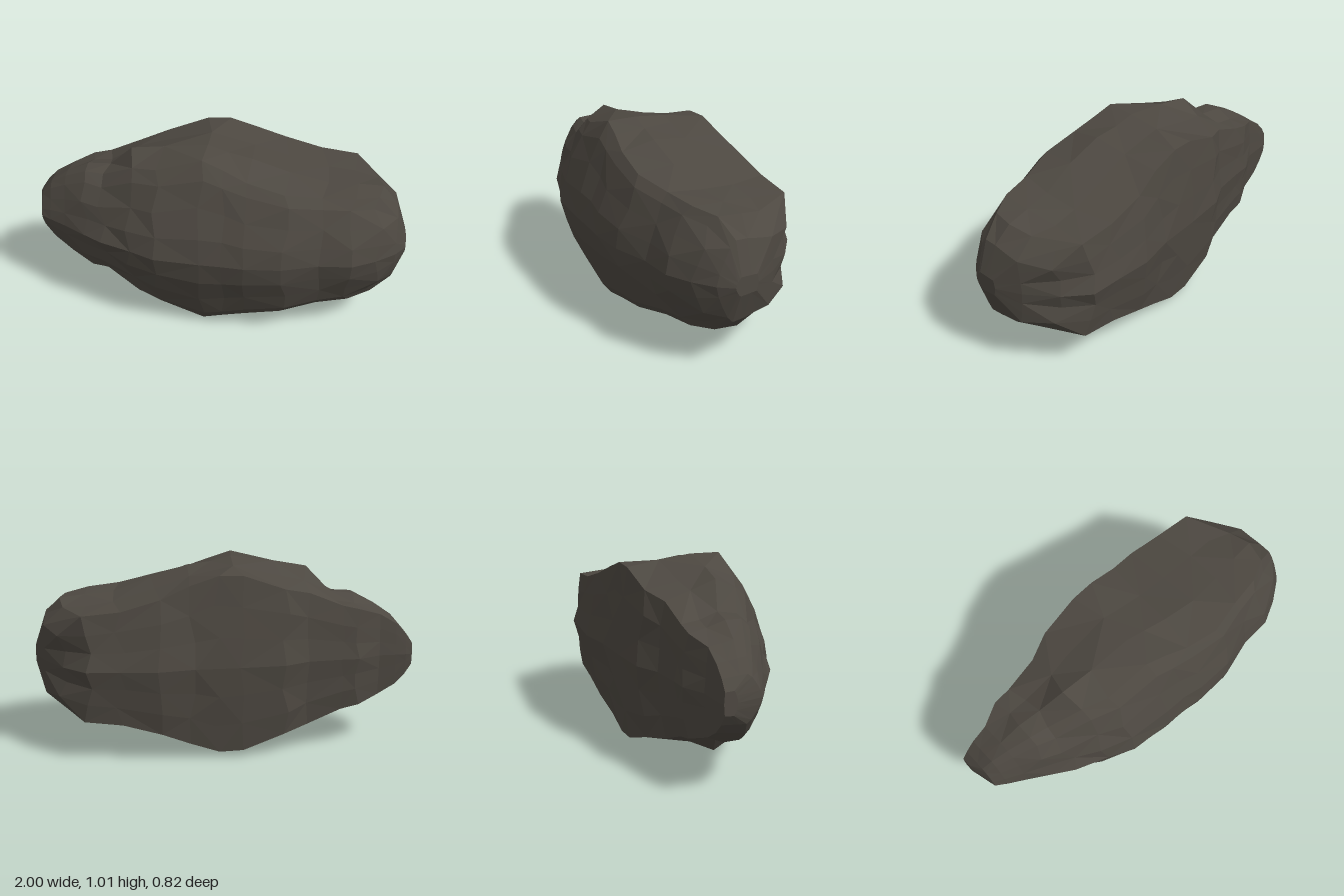
import * as THREE from 'three';

// Cross-sections along x:
// [x, half height, front z, shoulder z, back z, shoulder height, back edge height]
const SECTIONS = [
  [-1.0, 0.06, -0.11, -0.13, -0.18, 1, 0.95],
  [-0.965, 0.12, 0.03, -0.05, -0.19, 1, 0.92],
  [-0.91, 0.185, 0.065, -0.03, -0.195, 1, 0.9],
  [-0.82, 0.25, 0.115, 0, -0.2, 0.98, 0.88],
  [-0.7, 0.315, 0.19, 0.04, -0.26, 0.97, 0.82],
  [-0.6, 0.32, 0.25, 0.06, -0.265, 0.96, 0.86],
  [-0.43, 0.45, 0.315, 0.13, -0.285, 0.88, 0.8],
  [-0.3, 0.48, 0.375, 0.18, -0.35, 0.88, 0.83],
  [-0.06, 0.505, 0.395, 0.2, -0.37, 1, 0.92],
  [0.05, 0.49, 0.4, 0.22, -0.375, 0.95, 0.97],
  [0.17, 0.465, 0.41, 0.25, -0.38, 0.9, 0.88],
  [0.36, 0.39, 0.4, 0.27, -0.415, 0.95, 0.92],
  [0.55, 0.335, 0.345, 0.22, -0.4, 1, 0.88],
  [0.72, 0.32, 0.335, 0.19, -0.39, 1, 0.86],
  [0.84, 0.3, 0.275, 0.13, -0.28, 1, 0.82],
  [0.945, 0.215, 0.2, 0.1, -0.13, 1, 0.85],
  [1.0, 0.05, 0.13, 0.1, 0.0, 1, 0.9],
];

// Upper half outline for a given shoulder (s) and back edge (e) height:
// [0 = front, 1 = shoulder, 2 = back; height fraction]
const outline = (s, e) => [
  [0, 0], [0.15, 0.28 * s], [0.4, 0.57 * s], [0.7, 0.85 * s], [1, s],
  [1.28, 0.98], [1.58, 0.45 + 0.54 * e], [1.91, e],
  [1.945, 0.66 * e], [1.97, 0.33 * e], [2, 0],
];

const MID = 0.505;

// Small seeded generator for uneven facets
function makeRandom(seed) {
  return () => {
    seed = (seed * 16807) % 2147483647;
    return seed / 2147483647;
  };
}

function boulderGeometry() {
  const random = makeRandom(77);
  const last = SECTIONS.length - 1;
  const half = 10;
  const ring = half * 2;

  // Each ring is an uneven half outline, mirrored from top to bottom
  const rings = SECTIONS.map(([x, h, front, shoulder, back, s, e], i) => {
    const inner = i > 3 && i < last - 1;
    const top = outline(s, e).map(([t, k], j) => {
      const wobble = inner && j > 0 && j < half && j !== 4 ? 1 : 0;
      const z = t < 1
        ? THREE.MathUtils.lerp(front, shoulder, t)
        : THREE.MathUtils.lerp(shoulder, back, t - 1);
      return new THREE.Vector3(
        x + wobble * (random() - 0.5) * 0.06,
        h * Math.min(1, k * (1 + wobble * (random() - 0.5) * 0.05)),
        z * (1 + wobble * (random() - 0.6) * 0.04)
      );
    });
    const bottom = top.slice(1, half).reverse()
      .map((p) => new THREE.Vector3(p.x, -p.y, p.z));
    return [...top, ...bottom];
  });

  const positions = [];
  const face = (...points) =>
    points.forEach((p) => positions.push(p.x, p.y + MID, p.z));

  // Skin between the rings, with mirrored and alternating diagonals
  for (let i = 0; i < last; i++) {
    for (let j = 0; j < ring; j++) {
      const n = (j + 1) % ring;
      const a = rings[i][j], b = rings[i + 1][j];
      const c = rings[i + 1][n], d = rings[i][n];
      const row = j < half ? j : ring - 1 - j;
      if (((i + row) % 2 === 0) === (j < half)) {
        face(a, b, c);
        face(a, c, d);
      } else {
        face(a, b, d);
        face(b, c, d);
      }
    }
  }

  // Small end faces
  for (const i of [0, last]) {
    const [x, , front, , back] = SECTIONS[i];
    const centre = new THREE.Vector3(x, 0, (front + back) / 2);
    for (let j = 0; j < ring; j++) {
      const p = rings[i][j], q = rings[i][(j + 1) % ring];
      if (i === 0) face(centre, p, q);
      else face(centre, q, p);
    }
  }

  const geometry = new THREE.BufferGeometry();
  geometry.setAttribute('position', new THREE.Float32BufferAttribute(positions, 3));
  geometry.computeVertexNormals();
  return geometry;
}

export function createModel() {
  const group = new THREE.Group();
  group.name = 'rock';
  const stone = new THREE.MeshStandardMaterial({ color: 0x4d4841, flatShading: true });
  stone.name = 'dark stone';
  const boulder = new THREE.Mesh(boulderGeometry(), stone);
  boulder.name = 'boulder';
  group.add(boulder);
  return group;
}
